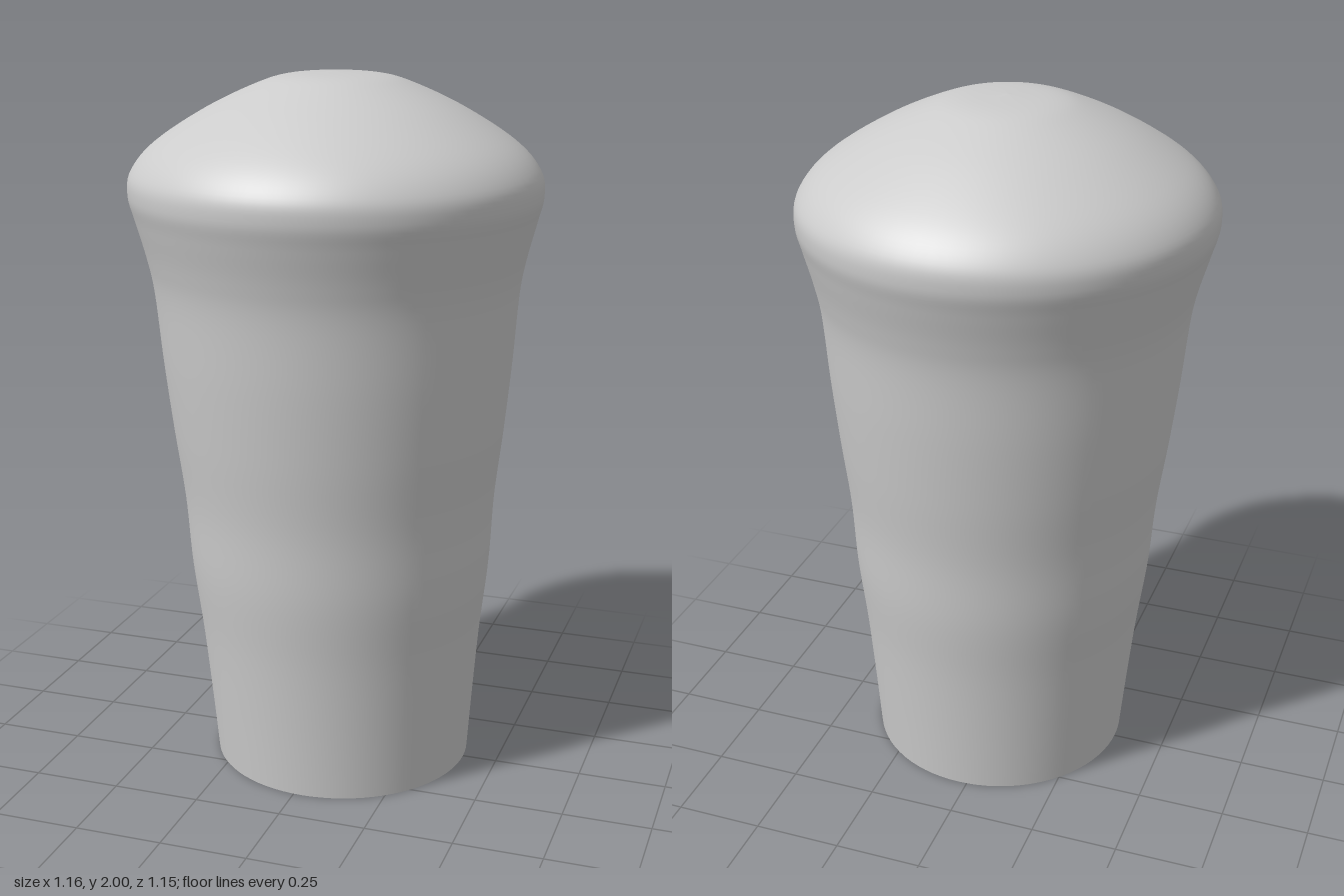
import * as THREE from 'three';

// Smooth curve through [radius, height] control points
const profile = (points, steps) =>
  new THREE.SplineCurve(points.map(([r, y]) => new THREE.Vector2(r, y))).getPoints(steps);

export function createModel() {
  const model = new THREE.Group();
  const material = new THREE.MeshStandardMaterial({ color: 0xcccccc, side: THREE.DoubleSide });

  // Hollow, open-bottomed grip with a gently waved shaft and a domed head
  const points = profile([
    [0.375, 0], [0.392, 0.2], [0.411, 0.4], [0.435, 0.6], [0.449, 0.8],
    [0.474, 1.0], [0.496, 1.2], [0.514, 1.4], [0.533, 1.5], [0.56, 1.6],
    [0.577, 1.67], [0.566, 1.735], [0.5, 1.81], [0.36, 1.9], [0.22, 1.966],
    [0.13, 1.992], [0, 2.0],
  ], 96);
  points[points.length - 1].x = 0;
  const geometry = new THREE.LatheGeometry(points, 80);

  // Lean the shaft slightly off axis towards its base
  const pos = geometry.attributes.position;
  for (let i = 0; i < pos.count; i++) {
    const lean = Math.max(0, 1 - pos.getY(i) / 1.7);
    pos.setX(i, pos.getX(i) + 0.025 * lean);
    pos.setZ(i, pos.getZ(i) + 0.005 * lean);
  }

  const knob = new THREE.Mesh(geometry, material);
  knob.name = 'knobShell';
  model.add(knob);
  return model;
}
